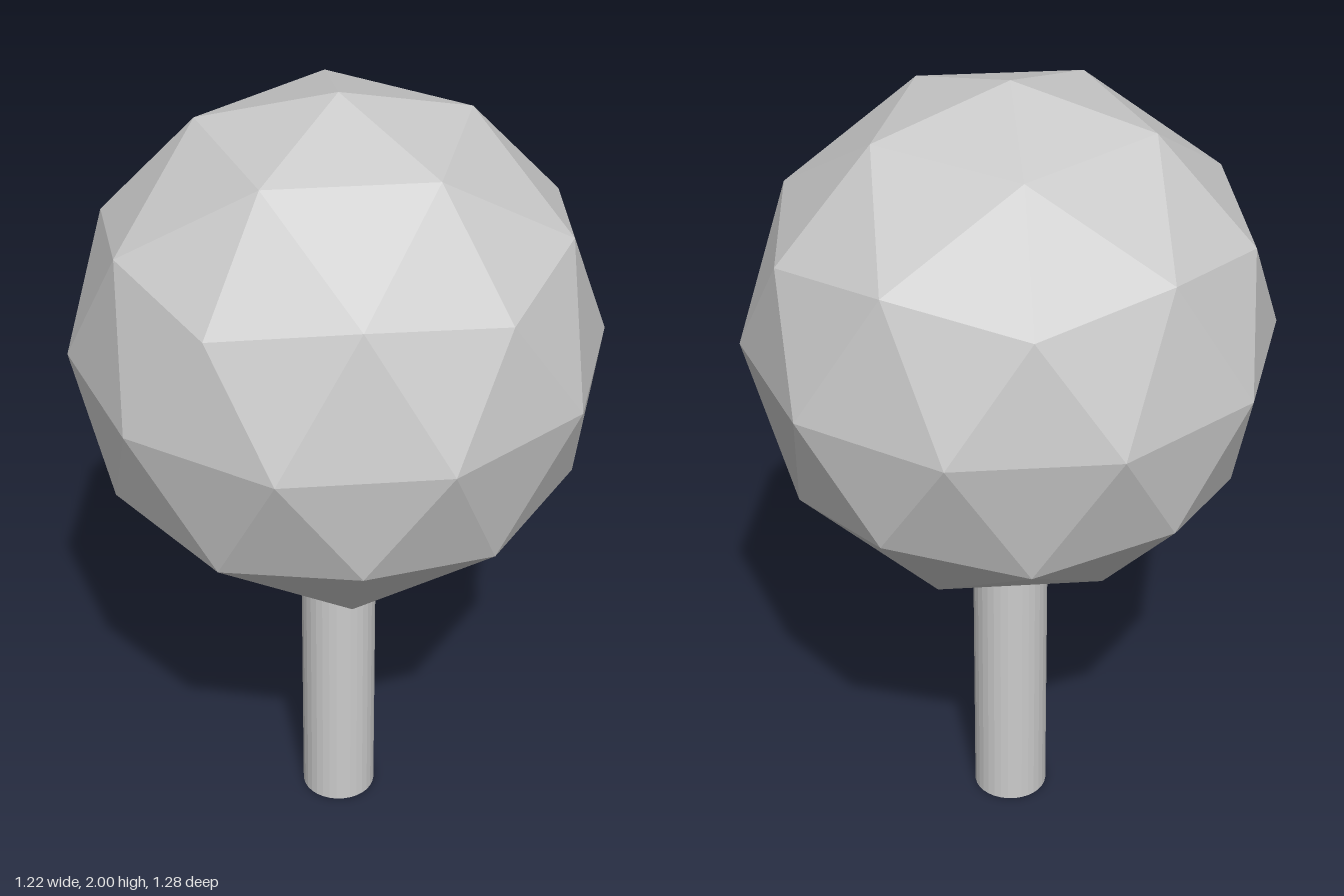
import * as THREE from 'three';

const CROWN_RADIUS = 0.64;
const TRUNK_RADIUS = 0.094;
const TRUNK_HEIGHT = 0.85;

export function createModel() {
  const model = new THREE.Group();
  model.name = 'tree';
  const material = new THREE.MeshStandardMaterial({ color: 0xcccccc, flatShading: true });

  // Faceted crown: once-divided icosahedron, turned so a corner points straight up
  const crownGeometry = new THREE.IcosahedronGeometry(CROWN_RADIUS, 1);
  const golden = (1 + Math.sqrt(5)) / 2;
  crownGeometry.rotateZ(-Math.atan(1 / golden));
  const crown = new THREE.Mesh(crownGeometry, material);
  crown.name = 'crown';
  crown.position.y = 2 - CROWN_RADIUS;
  model.add(crown);

  // Straight trunk, its top sunk into the crown
  const trunk = new THREE.Mesh(
    new THREE.CylinderGeometry(TRUNK_RADIUS, TRUNK_RADIUS, TRUNK_HEIGHT, 32),
    material
  );
  trunk.name = 'trunk';
  trunk.position.y = TRUNK_HEIGHT / 2;
  model.add(trunk);

  return model;
}
